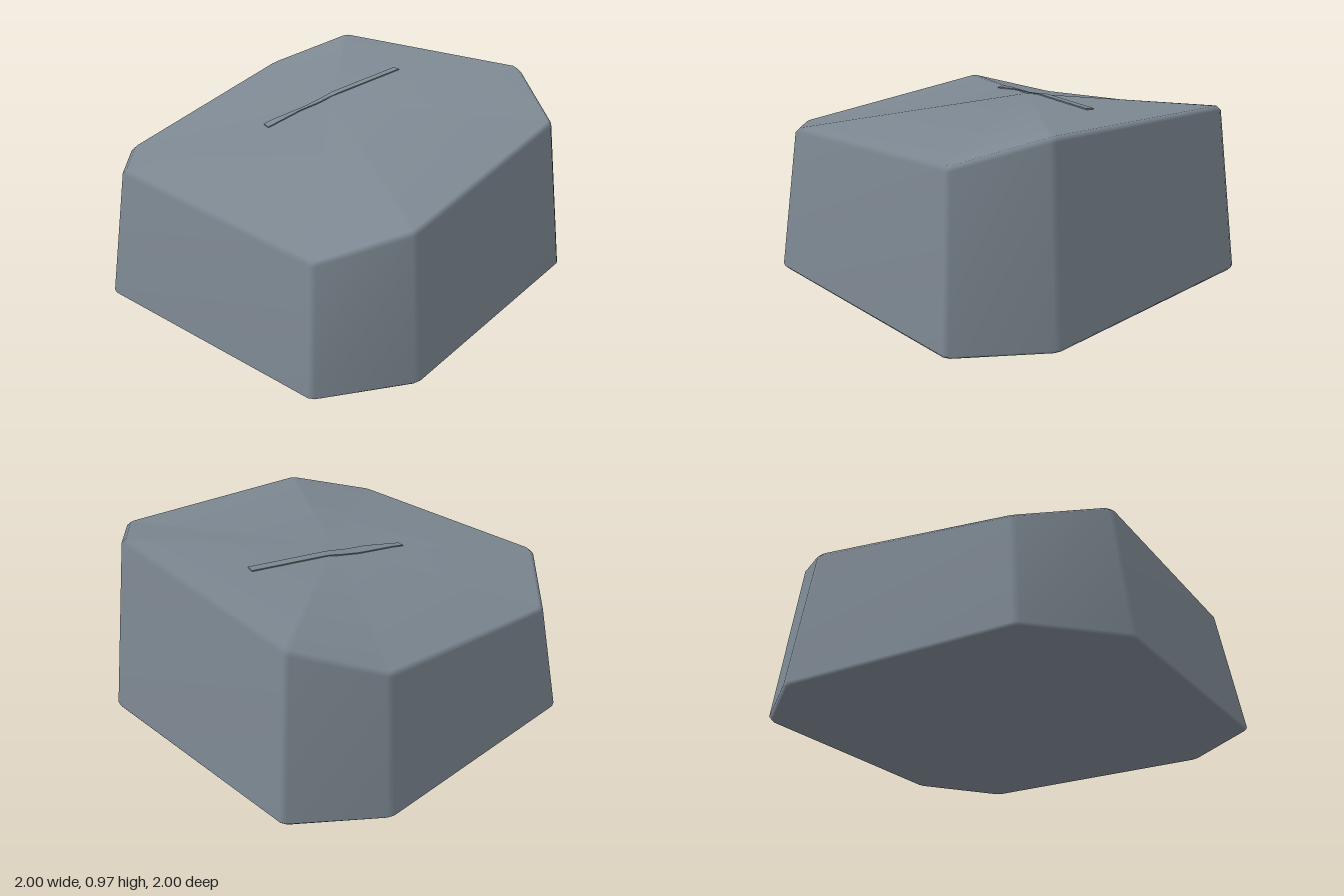
import * as THREE from 'three';

// Eight corners: base x, z, then rim x, y, z
const corners = [
  [-0.63, 1, -0.59, 0.69, 0.90],
  [0.70, 1, 0.63, 0.65, 0.90],
  [1, 0.60, 0.91, 0.75, 0.54],
  [1, -0.70, 0.91, 0.85, -0.63],
  [0.60, -1, 0.55, 0.97, -0.90],
  [-0.69, -1, -0.63, 0.87, -0.90],
  [-1, -0.61, -0.91, 0.725, -0.55],
  [-1, 0.64, -0.91, 0.59, 0.57],
];
const base = corners.map(([x, z]) => new THREE.Vector3(x, 0, z));
const rim = corners.map(([, , x, y, z]) => new THREE.Vector3(x, y, z));
const peak = new THREE.Vector3(-0.08, 0.87, -0.08);

// Split each corner in two, so upright edges get a narrow bevel
function bevelLoop(loop, d) {
  const toward = (a, b) => a.clone().add(b.clone().sub(a).setLength(d));
  return loop.flatMap((p, i) => [
    toward(p, loop[(i + 7) % 8]), toward(p, loop[(i + 1) % 8]),
  ]);
}

function stoneGeometry() {
  const toPeak = (p) => p.clone().add(peak.clone().sub(p).setLength(0.02));
  const rings = [
    bevelLoop(base.map((p) => p.clone().multiplyScalar(0.987)), 0.018),
    bevelLoop(base.map((p, i) => p.clone().lerp(rim[i], 0.02)), 0.018),
    bevelLoop(base.map((p, i) => p.clone().lerp(rim[i], 0.975)), 0.018),
    bevelLoop(rim.map(toPeak), 0.018),
  ];
  // keep the widest ring on the full footprint
  rings[1].forEach((p) => { p.x *= 1.002; p.z *= 1.002; });
  const n = 16;
  const points = [...rings.flat(), new THREE.Vector3(0, 0, 0), peak];
  const index = [];
  for (let i = 0; i < n; i++) {
    const j = (i + 1) % n;
    for (let r = 0; r < 3; r++) {
      const a = r * n + i, b = r * n + j;
      index.push(a, b, b + n, a, b + n, a + n);
    }
    index.push(j, i, 4 * n); // underside
    index.push(3 * n + i, 3 * n + j, 4 * n + 1); // top facets
  }
  const g = new THREE.BufferGeometry().setFromPoints(points);
  g.setIndex(index);
  g.computeVertexNormals();
  return g;
}

// Height of the faceted top at x, z
function topHeight(x, z) {
  for (let i = 0; i < 8; i++) {
    const a = rim[i].clone().sub(peak), b = rim[(i + 1) % 8].clone().sub(peak);
    const det = a.x * b.z - a.z * b.x;
    const u = ((x - peak.x) * b.z - (z - peak.z) * b.x) / det;
    const v = (a.x * (z - peak.z) - a.z * (x - peak.x)) / det;
    if (u >= -1e-6 && v >= -1e-6) return peak.y + u * a.y + v * b.y;
  }
  return peak.y;
}

// Thin strip draped over the top
function seamGeometry() {
  const g = new THREE.BoxGeometry(0.04, 0.008, 0.86, 1, 1, 16);
  g.rotateY(-0.232);
  g.translate(-0.123, 0, -0.16);
  const p = g.attributes.position;
  for (let i = 0; i < p.count; i++) {
    p.setY(i, p.getY(i) + topHeight(p.getX(i), p.getZ(i)) + 0.002);
  }
  g.computeVertexNormals();
  return g;
}

export function createModel() {
  const group = new THREE.Group();
  group.name = 'rock';
  const stone = new THREE.MeshStandardMaterial({ color: 0x7d8892 });
  stone.name = 'slate grey';

  const body = new THREE.Mesh(stoneGeometry(), stone);
  body.name = 'stoneBody';
  const seam = new THREE.Mesh(seamGeometry(), stone);
  seam.name = 'topSeam';
  group.add(body, seam);
  return group;
}
